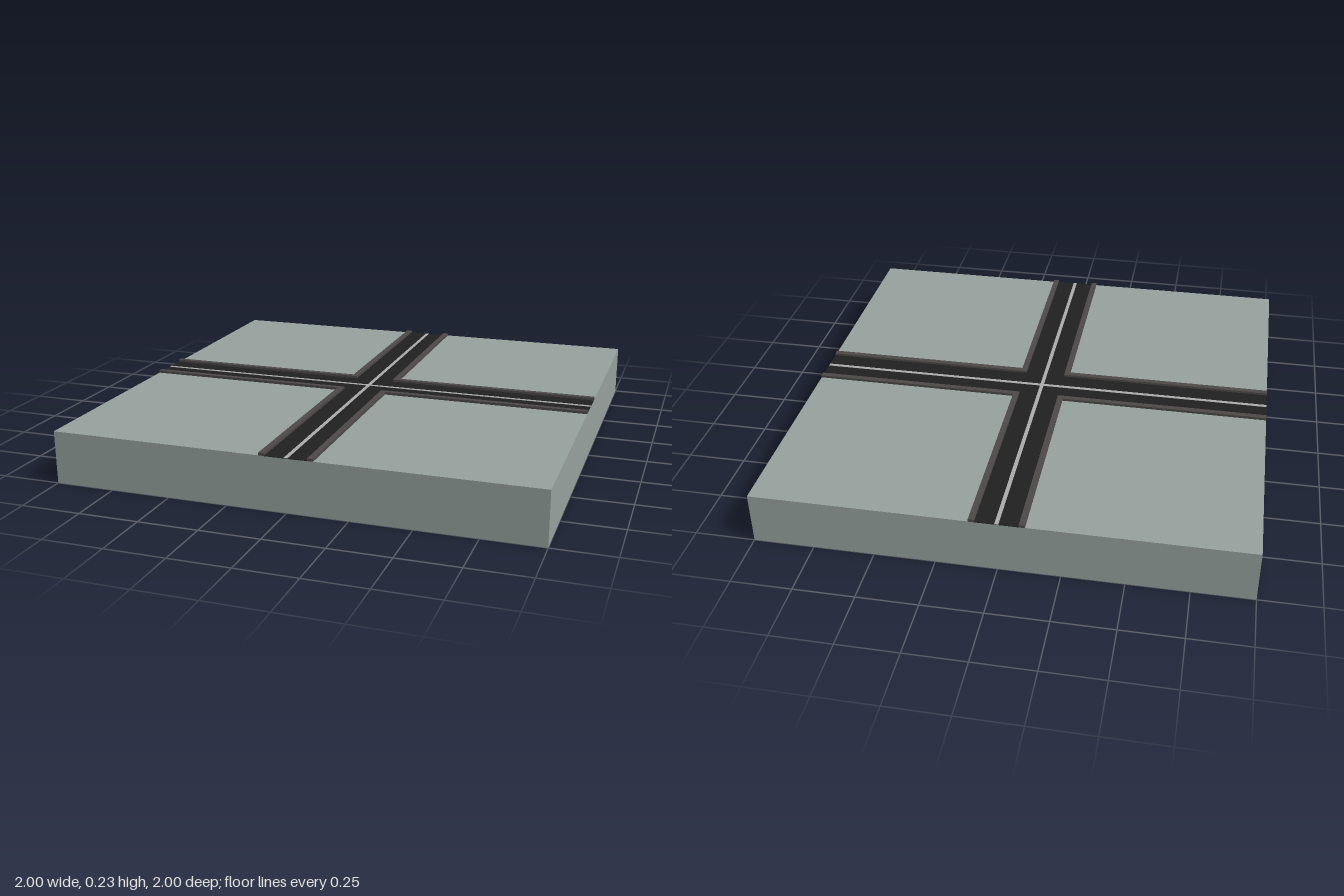
import * as THREE from 'three';

const HALF = 1;
const SLAB_TOP = 0.222;
const ROAD_HALF = 0.087;
const KERB_OUTER = 0.111;
const KERB_TOP = 0.233;

function createMesh(name, geometry, color) {
  const mesh = new THREE.Mesh(geometry, new THREE.MeshStandardMaterial({ color, flatShading: true }));
  mesh.name = name;
  return mesh;
}

// Flat plate cut from a plan outline, lying between two heights
function plate(points, bottom, top) {
  const shape = new THREE.Shape(points.map(([x, y]) => new THREE.Vector2(x, y)));
  const geometry = new THREE.ExtrudeGeometry(shape, { depth: top - bottom, bevelEnabled: false });
  return geometry.rotateX(-Math.PI / 2).translate(0, bottom, 0);
}

// Plan outline of two strips crossing at the centre
function crossOutline(w) {
  return [
    [w, w], [w, HALF], [-w, HALF], [-w, w], [-HALF, w], [-HALF, -w],
    [-w, -w], [-w, -HALF], [w, -HALF], [w, -w], [HALF, -w], [HALF, w],
  ];
}

export function createModel() {
  const model = new THREE.Group();
  model.name = 'crossroadsTile';

  // Ground slab
  const slab = new THREE.BoxGeometry(2 * HALF, SLAB_TOP, 2 * HALF).translate(0, SLAB_TOP / 2, 0);
  model.add(createMesh('groundSlab', slab, 0x95a09d));

  // Crossing roads and their centre lines
  model.add(createMesh('roadSurface', plate(crossOutline(ROAD_HALF), SLAB_TOP - 0.001, SLAB_TOP + 0.001), 0x202020));
  model.add(createMesh('centreLines', plate(crossOutline(0.008), SLAB_TOP, SLAB_TOP + 0.002), 0xaaaaaa));

  // One L-shaped kerb around each corner of the crossing
  const a = ROAD_HALF, b = KERB_OUTER;
  const kerb = plate([[a, a], [HALF, a], [HALF, b], [b, b], [b, HALF], [a, HALF]], SLAB_TOP - 0.001, KERB_TOP);
  for (let i = 0; i < 4; i++) {
    const mesh = createMesh('kerb' + (i + 1), kerb, 0x4c4848);
    mesh.rotation.y = i * Math.PI / 2;
    model.add(mesh);
  }
  return model;
}
